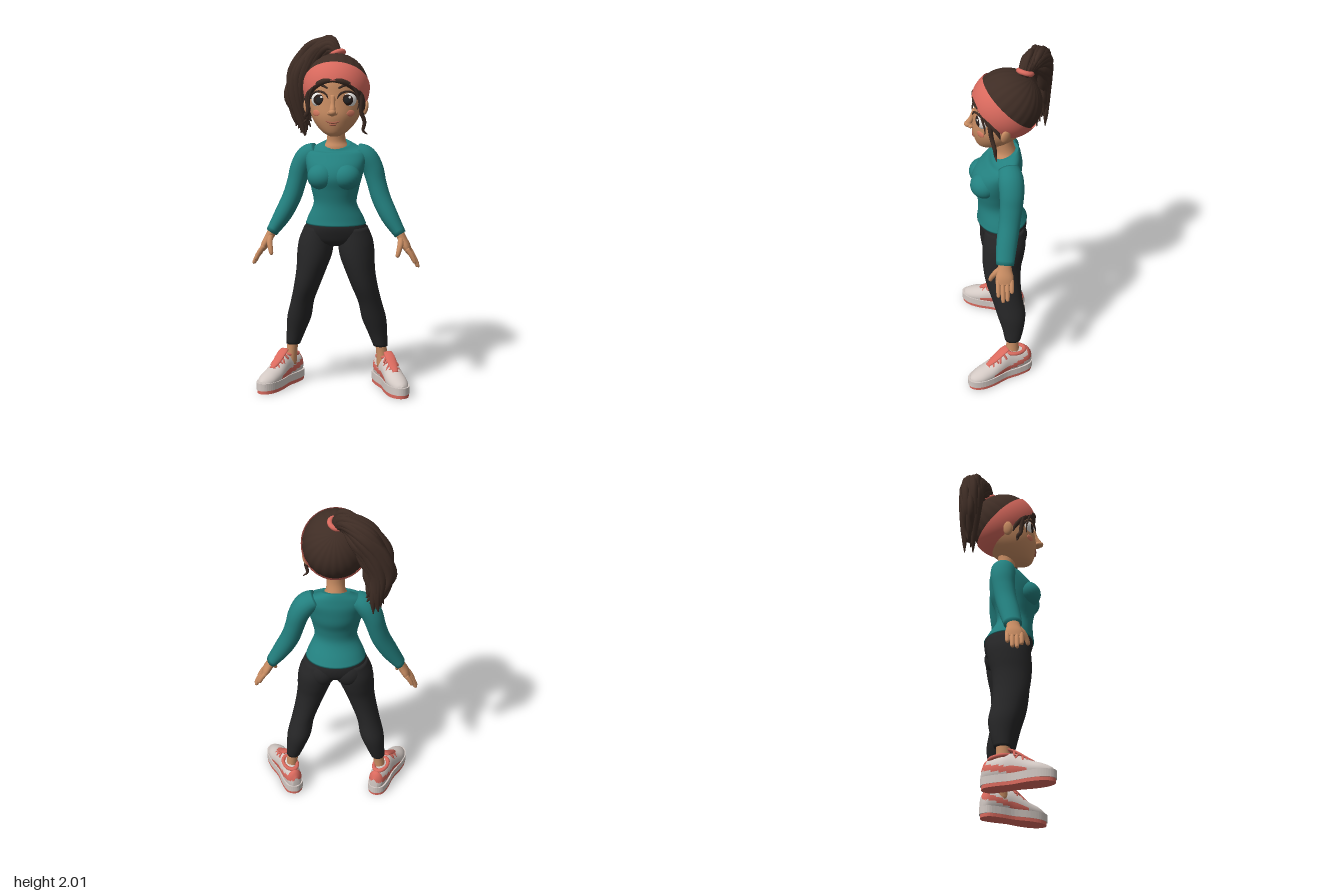
import * as THREE from 'three';

const mat = (name, color, side = THREE.FrontSide) => {
  const m = new THREE.MeshStandardMaterial({ color, side });
  m.name = name;
  return m;
};
const SKIN = mat('skin', 0xc88c62), TEAL = mat('teal shirt', 0x23807f), BLACK = mat('black leggings', 0x262627);
const HAIR = mat('brown hair', 0x3f2d25, THREE.DoubleSide), CORAL = mat('coral', 0xda6a5e, THREE.DoubleSide);
const WHITE = mat('shoe white', 0xd3c9c4), EYE = mat('eye white', 0xe9e6e3), DARK = mat('dark iris', 0x2a1d19);
const LIP = mat('lip', 0xa9604c), BLUSH = mat('blush', 0xd67a60);

const V = (x, y, z) => new THREE.Vector3(x, y, z);
const UP = V(0, 1, 0), DOWN = V(0, -1, 0), FRONT = V(0, 0, 1);

// Smooth skin over elliptical sections [x, y, z, radiusU, radiusV]
function loft(rows, { n = 16, steps = 5, dir = null, ref = FRONT, bend = null, pick = null } = {}) {
  const C = new THREE.CatmullRomCurve3(rows.map(r => V(r[0], r[1], r[2])), false, 'catmullrom');
  const R = new THREE.CatmullRomCurve3(rows.map(r => V(r[3], r[4] ?? r[3], 0)), false, 'catmullrom');
  const m = (rows.length - 1) * steps, pts = [], groups = [[], []];
  for (let i = 0; i <= m; i++) {
    const c = C.getPoint(i / m), r = R.getPoint(i / m), t = dir || C.getTangent(i / m);
    const v = ref.clone().addScaledVector(t, -ref.dot(t)).normalize(), u = t.clone().cross(v);
    for (let j = 0; j < n; j++) {
      const a = j / n * Math.PI * 2;
      const p = c.clone().addScaledVector(u, Math.max(r.x, 0.001) * Math.cos(a)).addScaledVector(v, Math.max(r.y, 0.001) * Math.sin(a));
      if (bend) bend(p);
      pts.push(p);
    }
  }
  for (let i = 0; i < m; i++) for (let j = 0; j < n; j++) {
    const k = (j + 1) % n, a = i * n + j, b = i * n + k, c = a + n, d = b + n;
    const mid = pts[a].clone().add(pts[d]).multiplyScalar(0.5);
    groups[pick && pick(mid) ? 1 : 0].push(a, c, b, b, c, d);
  }
  for (const s of [0, m]) {
    const e = pts.length, mid = V(0, 0, 0);
    for (let j = 0; j < n; j++) mid.addScaledVector(pts[s * n + j], 1 / n);
    pts.push(mid);
    for (let j = 0; j < n; j++) {
      const a = s * n + j, b = s * n + (j + 1) % n;
      groups[0].push(e, ...(s ? [b, a] : [a, b]));
    }
  }
  const g = new THREE.BufferGeometry().setFromPoints(pts);
  g.setIndex(groups.flat());
  if (pick) {
    g.addGroup(0, groups[0].length, 0);
    g.addGroup(groups[0].length, groups[1].length, 1);
  }
  g.computeVertexNormals();
  return g;
}

function add(parent, name, geo, material, p = [0, 0, 0], scale = [1, 1, 1], rot = [0, 0, 0]) {
  const o = new THREE.Mesh(geo, material);
  o.name = name;
  o.position.set(...p); o.scale.set(...scale); o.rotation.set(...rot);
  parent.add(o);
  return o;
}
const group = (parent, name) => {
  const g = new THREE.Group();
  g.name = name;
  parent.add(g);
  return g;
};
const ball = (theta = Math.PI) => new THREE.SphereGeometry(1, 28, 18, 0, Math.PI * 2, 0, theta);

// Head sections [y, z, halfWidth, halfDepth], and the face surface they make
const HEAD = [[1.462, .11, .03, .045], [1.485, .095, .07, .08], [1.53, .07, .112, .12], [1.58, .05, .138, .148], [1.64, .03, .153, .162],
  [1.70, .02, .157, .165], [1.77, .015, .15, .16], [1.83, .01, .125, .13], [1.88, 0, .075, .075]];
function onFace(x, y, lift, r, r2 = r) {
  const i = Math.max(1, HEAD.findIndex(h => h[0] >= y)), lo = HEAD[i - 1], hi = HEAD[i];
  const k = (y - lo[0]) / (hi[0] - lo[0]), [, z, a, b] = lo.map((v, q) => v + (hi[q] - v) * k);
  return [x, y, z + b * Math.sqrt(Math.max(0, 1 - (x / a) ** 2)) + lift, r, r2];
}

function buildHead(root) {
  const head = group(root, 'head');
  add(head, 'face', loft(HEAD.map(h => [0, ...h]), { n: 32, dir: UP }), SKIN);
  add(head, 'neck', loft([[0, 1.34, .015, .085, .06], [0, 1.39, .013, .073, .064], [0, 1.425, .014, .055, .055],
    [0, 1.48, .025, .05, .052], [0, 1.56, .03, .055, .06]], { n: 20, dir: UP }), SKIN);
  add(head, 'noseBridge', loft([[0, 1.69, .18, .014], [0, 1.64, .197, .014], [0, 1.605, .215, .018], [0, 1.585, .205, .014]], { n: 12 }), SKIN);
  add(head, 'noseTip', ball(), SKIN, [0, 1.6, .215], [.022, .018, .025]);
  add(head, 'mouth', loft([-.04, -.02, 0, .02, .04].map(x => onFace(x, 1.541 + x * x * 6, .001, Math.abs(x) > .03 ? .002 : .005))), LIP);
  add(head, 'lowerLip', ball(), LIP, [0, 1.53, .188], [.02, .007, .009]);
  for (const s of [1, -1]) {
    add(head, 'nostril', ball(), SKIN, [s * .017, 1.594, .205], [.012, .011, .014]);
    add(head, 'ear', ball(), SKIN, [s * .164, 1.615, .025], [.016, .042, .028], [0, s * .4, s * -.15]);
    add(head, 'cheek', ball(), BLUSH, onFace(s * .095, 1.592, -.001, 0).slice(0, 3), [.027, .018, .005], [0, s * .7, 0]);
    // Eye: one ellipsoid, with iris, pupil and glint as caps over it
    const eye = group(head, 'eye');
    eye.position.set(s * .077, 1.665, .142);
    eye.rotation.y = s * .38;
    const cap = (name, theta, size, m, turn, tilt) => {
      const g = ball(theta).rotateX(Math.PI / 2 + tilt).rotateY(turn);
      add(eye, name, g, m, [0, 0, 0], [.05 * size, .045 * size, .034 * size]);
    };
    cap('eyeball', Math.PI, 1, EYE, 0, 0);
    cap('iris', .72, 1.02, DARK, s * -.25, 0);
    cap('pupil', .36, 1.03, BLACK, s * -.25, 0);
    cap('glint', .14, 1.045, EYE, s * -.25 + .3, -.35);
    const lid = [0, .2, .4, .6, .8, 1].map(k => {
      const a = Math.PI * (.02 + .92 * k);
      return onFace(s * (.077 + .053 * Math.cos(a)), 1.665 + .047 * Math.sin(a), .008, k === 1 ? .002 : .006);
    });
    add(head, 'upperLash', loft(lid, { n: 8, ref: UP.clone().add(FRONT) }), HAIR);
    add(head, 'brow', loft([onFace(s * .03, 1.73, .003, .005), onFace(s * .07, 1.748, .003, .008, .006),
      onFace(s * .105, 1.744, .003, .006), onFace(s * .13, 1.725, .003, .002)], { n: 8 }), HAIR);
  }
}

function buildHair(root) {
  const hair = group(root, 'hair');
  // Combed cap and band share one tilted sphere
  const shell = (r, from, to, ridge) => {
    const g = new THREE.SphereGeometry(r, 96, 30, 0, Math.PI * 2, from, to - from), p = g.attributes.position, v = V(0, 0, 0);
    for (let i = 0; i < p.count; i++) {
      v.fromBufferAttribute(p, i);
      const k = 1 + ridge * Math.abs(Math.sin(Math.atan2(v.z, v.x) * 11)) * Math.hypot(v.x, v.z) / r;
      p.setXYZ(i, v.x * k * .95, v.y * k, v.z * k);
    }
    g.computeVertexNormals();
    return g.rotateX(-.76).translate(0, 1.725, .005);
  };
  add(hair, 'hairCap', shell(.187, 0, 2.08, .02), HAIR);
  add(hair, 'headband', shell(.197, 1.48, 2.09, 0), CORAL);
  // Hair under the band and loose locks at the temples
  for (const s of [1, -1]) {
    add(hair, 'fringe', loft([[s * -.01, 1.775, .185, .01], [s * .05, 1.768, .182, .016, .012], [s * .105, 1.738, .148, .018, .014],
      [s * .143, 1.69, .105, .017], [s * .157, 1.64, .07, .012], [s * .16, 1.6, .055, .003]], { n: 10 }), HAIR);
    const d = s > 0 ? 0 : .06;
    add(hair, 'templeLock', loft([[s * .12, 1.745, .125, .008], [s * .15, 1.68, .11, .013], [s * .148, 1.6, .1, .012],
      [s * .165, 1.54 + d / 2, .085, .011], [s * .158, 1.49 + d, .08, .008], [s * .182, 1.468 + d, .075, .002]], { n: 8 }), HAIR);
    add(hair, 'wisp', loft([[s * .09, 1.765, .165, .005], [s * .125, 1.71, .15, .007], [s * .14, 1.65, .135, .005], [s * .13, 1.61, .135, .002]], { n: 6 }), HAIR);
  }
  add(hair, 'hairTie', new THREE.TorusGeometry(.036, .014, 10, 24), CORAL, [-.005, 1.907, -.09], [1, 1, 1], [1.25, .35, 0]);
  // Ponytail: a core wrapped in wavy tapering locks
  const tail = [[0, 1.885, -.08, .03, .03], [-.05, 1.945, -.13, .055, .055], [-.14, 1.895, -.18, .07, .062], [-.215, 1.78, -.19, .08, .058],
    [-.24, 1.66, -.195, .075, .05], [-.225, 1.55, -.2, .05, .036], [-.215, 1.49, -.2, .012, .012]];
  add(hair, 'ponytailCore', loft(tail.map(r => [r[0], r[1], r[2], r[3] * .8, r[4] * .8]), { n: 16 }), HAIR);
  const thick = [.012, .022, .029, .031, .027, .019, .003];
  for (let q = 0; q < 18; q++) {
    const rows = tail.map(([x, y, z, a, b], k) => {
      const lo = tail[Math.max(0, k - 1)], hi = tail[Math.min(6, k + 1)];
      const u = V(hi[0] - lo[0], hi[1] - lo[1], 0).normalize(), f = q * 2.4 + k * .3;
      const wide = k === 6 ? 4 : .72 + .2 * Math.sin(k * 2.2 + q * 1.7), drop = k > 4 ? ((q * 7) % 9 - 4) * .013 * (k - 4) : 0;
      return [x + u.y * Math.cos(f) * a * wide, y - u.x * Math.cos(f) * a * wide + drop * .6,
        z + Math.sin(f) * b * (k === 6 ? 2 : .78), thick[k], thick[k] * .85];
    });
    add(hair, 'ponytailLock', loft(rows, { n: 8 }), HAIR);
  }
}

function buildBody(root) {
  const body = group(root, 'body');
  // Shirt, with the collar dipping at the front
  const dip = p => { p.y -= .38 * (p.z + .03) * THREE.MathUtils.smoothstep(p.y, 1.36, 1.42); };
  add(body, 'shirt', loft([[0, .958, .036, .172, .143], [0, 1.0, .046, .156, .128], [0, 1.08, .068, .122, .104], [0, 1.16, .073, .134, .115],
    [0, 1.23, .07, .152, .137], [0, 1.29, .056, .165, .131], [0, 1.345, .03, .172, .108], [0, 1.385, .015, .15, .086], [0, 1.412, .01, .105, .072],
    [0, 1.426, .01, .077, .066]], { n: 36, dir: UP, bend: dip }), TEAL);
  add(body, 'hips', loft([[0, .985, .036, .15, .125], [0, .95, .034, .171, .139], [0, .9, .03, .188, .13], [0, .86, .03, .16, .11], [0, .835, .03, .08, .07]],
    { n: 32, dir: DOWN }), BLACK);
  for (const s of [1, -1]) {
    const side = rows => rows.map(([x, ...r]) => [s * x, ...r]);
    add(body, 'bust', ball(), TEAL, [s * .066, 1.235, .135], [.083, .075, .082]);
    add(body, 'seat', ball(), BLACK, [s * .075, .885, -.022], [.085, .09, .08]);
    add(body, 'sleeve', loft(side([[.11, 1.365, .005, .05, .06], [.165, 1.335, -.002, .062, .07], [.205, 1.27, -.005, .06, .068], [.228, 1.19, 0, .055, .063],
      [.256, 1.1, .012, .054, .06], [.305, 1.0, .03, .05, .058], [.368, .9, .045, .034, .05]]), { n: 20 }), TEAL);
    add(body, 'leg', loft(side([[.1, .94, .03, .08, .11], [.112, .86, .03, .1, .122], [.122, .78, .038, .1, .12], [.138, .7, .045, .087, .11],
      [.165, .6, .04, .075, .1], [.195, .5, .02, .067, .088], [.217, .4, -.002, .07, .083], [.238, .31, -.01, .055, .064], [.255, .235, -.008, .041, .047]]),
    { n: 24, dir: DOWN }), BLACK);
    add(body, 'ankle', loft(side([[.253, .27, -.008, .033, .038], [.262, .2, -.006, .032, .037], [.272, .11, -.002, .037, .045]]), { n: 16, dir: DOWN }), SKIN);
    // Hand
    const hand = group(body, 'hand');
    add(hand, 'palm', loft(side([[.358, .92, .044, .026, .034], [.38, .875, .047, .025, .04], [.402, .835, .049, .024, .05], [.422, .797, .05, .015, .045]]), { n: 16 }), SKIN);
    [.145, .17, .165, .13].forEach((len, i) => {
      const z = .087 - i * .025, k = len - .07;
      add(hand, 'finger', loft(side([[.408, .825, z, .013], [.408 + k * .35, .825 - k * .5, z, .0135], [.408 + k * .6, .825 - k, z, .011], [.408 + k * .61, .825 - k * 1.07, z, .004]]), { n: 10 }), SKIN);
    });
    add(hand, 'thumb', loft(side([[.372, .88, .07, .016], [.372, .85, .097, .017], [.364, .815, .118, .014], [.358, .79, .126, .011], [.356, .782, .128, .004]]), { n: 10 }), SKIN);
    buildShoe(body, s);
  }
}

function buildShoe(parent, s) {
  const shoe = group(parent, 'shoe');
  shoe.position.set(s * .318, 0, .068);
  shoe.rotation.y = s * .43;
  const half = [[.046, -.18], [.056, -.11], [.05, -.02], [.062, .08], [.056, .155], [.03, .2]];
  const loop = [[0, -.207], ...half, [0, .212], ...half.map(([x, z]) => [-x, z]).reverse()].map(([x, z]) => V(x, z, 0));
  const outline = new THREE.Shape(new THREE.CatmullRomCurve3(loop, true).getPoints(60).map(p => new THREE.Vector2(p.x, p.y)));
  const sole = (name, y0, y1, m, k) => add(shoe, name, new THREE.ExtrudeGeometry(outline, { depth: y1 - y0, bevelEnabled: false })
    .rotateX(Math.PI / 2).translate(0, y1, 0), m, [0, 0, 0], [k, 1, k]);
  sole('outsole', 0, .02, CORAL, .98);
  sole('midsole', .02, .062, WHITE, 1.01);
  // Upper sections: z, top height, half width; slanted coral stripe on the sides
  const tops = [[-.2, .12, .02], [-.175, .16, .043], [-.13, .165, .052], [-.08, .172, .052], [-.03, .185, .05], [.02, .165, .054],
    [.08, .13, .058], [.14, .108, .054], [.185, .085, .036], [.203, .068, .012]];
  const stripe = p => (p.z > -.19 && p.z < .07 && Math.abs(p.y - .09 + .2 * (p.z + .06)) < .017) || (p.z < -.165 && p.y > .1);
  add(shoe, 'upper', loft(tops.map(([z, top, w]) => [0, (top + .02) / 2, z, w, (top - .02) / 2]), { n: 40, steps: 7, dir: FRONT, ref: UP, pick: stripe }), [WHITE, CORAL]);
  add(shoe, 'tongue', loft([[0, .205, -.045, .026, .008], [0, .188, -.01, .03, .01], [0, .15, .045, .026, .01], [0, .122, .09, .014, .008]], { n: 12, ref: UP }), CORAL);
  add(shoe, 'collar', new THREE.TorusGeometry(.042, .011, 8, 28), CORAL, [0, .168, -.1], [.95, 1.35, 1], [Math.PI / 2 - .12, 0, 0]);
  for (let i = 0; i < 5; i++) {
    const z = -.01 + i * .023, y = .186 - i * .0165, tilt = i % 2 ? .01 : -.01;
    add(shoe, 'lace', loft([[-.04, y - .03, z - tilt, .006], [-.022, y - .003, z, .007], [0, y + .003, z, .007], [.022, y - .003, z, .007], [.04, y - .03, z + tilt, .006]], { n: 8, steps: 3 }), CORAL);
  }
}

export function createModel() {
  const root = new THREE.Group();
  root.name = 'runner';
  buildBody(root);
  buildHead(root);
  buildHair(root);
  return root;
}
